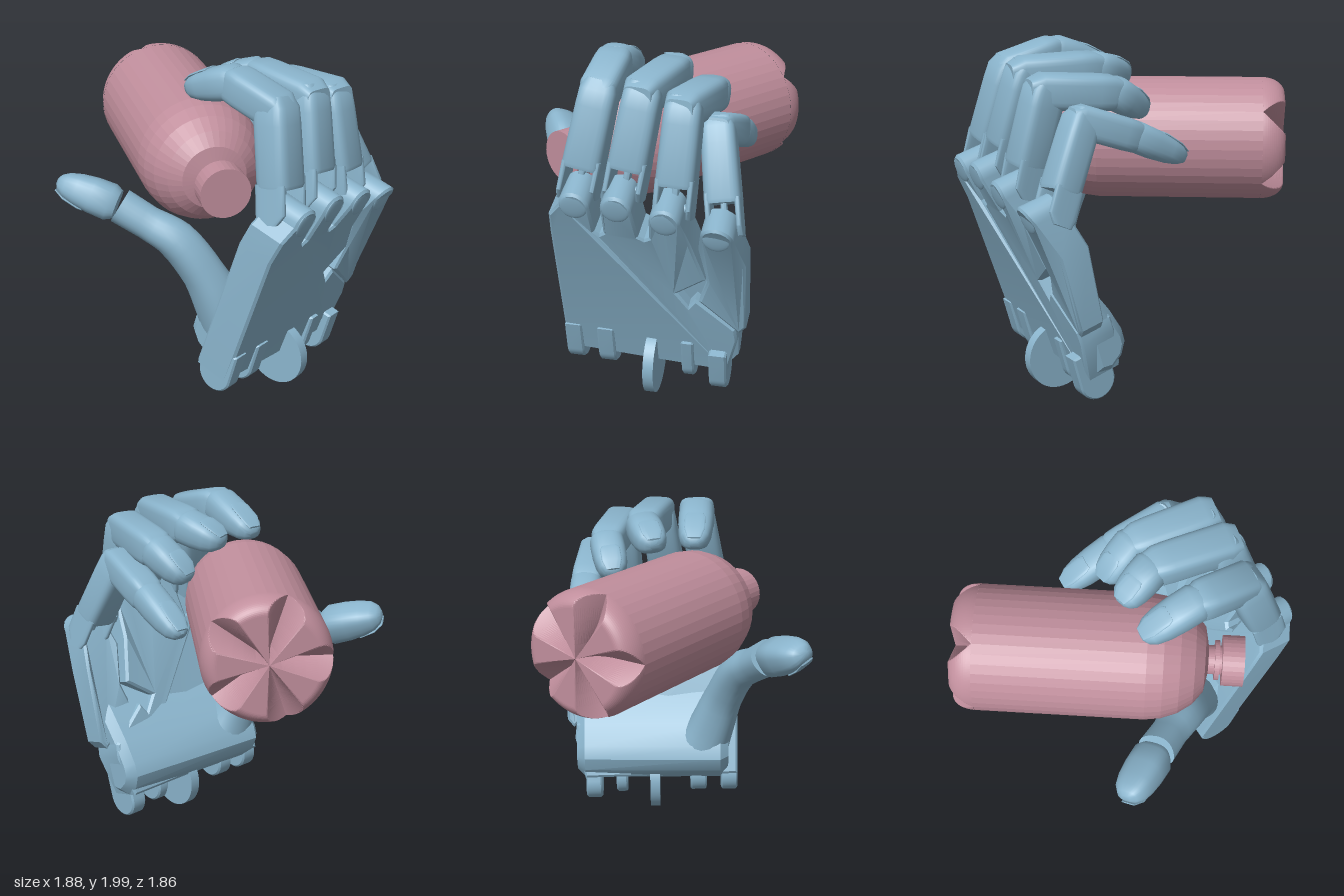
import * as THREE from 'three';
import { toCreasedNormals } from 'three/addons/utils/BufferGeometryUtils.js';

const V = (x, y, z) => new THREE.Vector3(x, y, z);
const { lerp, smoothstep } = THREE.MathUtils;
const handMat = new THREE.MeshStandardMaterial({ color: 0x8ab4cc, side: THREE.DoubleSide });
const bottleMat = new THREE.MeshStandardMaterial({ color: 0xc08e9c, flatShading: true });

// Palm frame: across (towards the little finger), up, and out of the back of the hand
const UP = V(0.175, 0.96, 0.22).normalize();
const OUT = V(0.81, -0.05, -0.585).cross(UP).normalize();
const ACROSS = UP.clone().cross(OUT);

function add(parent, name, geo, mat = handMat) {
  const mesh = new THREE.Mesh(geo, mat);
  mesh.name = name;
  parent.add(mesh);
  return mesh;
}

// Rounded-box or oval sections [point, halfWidth, halfDepth, outward offset] joined into a skin
function loft(sections, lateral, power = 4, n = 28) {
  const pos = [], idx = [], last = sections.length - 1;
  sections.forEach(([p, w, d, off = 0], i) => {
    const dir = sections[Math.min(i + 1, last)][0].clone().sub(sections[Math.max(i - 1, 0)][0]).normalize();
    const x = lateral.clone().addScaledVector(dir, -lateral.dot(dir)).normalize();
    const z = x.clone().cross(dir);
    for (let j = 0; j < n; j++) {
      const a = (j / n) * Math.PI * 2, c = Math.cos(a), s = Math.sin(a);
      const q = p.clone()
        .addScaledVector(x, w * Math.sign(c) * Math.abs(c) ** (2 / power))
        .addScaledVector(z, off + d * Math.sign(s) * Math.abs(s) ** (2 / power));
      pos.push(q.x, q.y, q.z);
      const b = i * n + j, e = i * n + ((j + 1) % n);
      if (i < last) idx.push(b, b + n, e, e, b + n, e + n);
    }
  });
  for (let j = 1; j < n - 1; j++) {
    const t = last * n;
    idx.push(0, j, j + 1, t, t + j + 1, t + j);
  }
  const geo = new THREE.BufferGeometry();
  geo.setAttribute('position', new THREE.Float32BufferAttribute(pos, 3));
  geo.setIndex(idx);
  return toCreasedNormals(geo, 0.7);
}

// Straight loft from a to b; rows are [t, halfWidth, halfDepth, offset]
const limb = (a, b, rows, lateral, power) =>
  loft(rows.map(([t, ...r]) => [a.clone().lerp(b, t), ...r]), lateral, power);

function tipSegment(parent, a, b, r, lateral) {
  add(parent, 'fingertip', limb(a, b, [
    [-0.16, r * 0.8, r * 0.75], [0, r, r * 0.95], [0.4, r, r * 0.92], [0.75, r * 0.94, r * 0.8],
    [1, r * 0.8, r * 0.62], [1.14, r * 0.55, r * 0.4], [1.2, r * 0.25, r * 0.18]], lateral, 2.8));
  add(parent, 'fingernail', limb(a, b, [
    [0.5, r * 0.45, r * 0.06, r * 0.87], [0.6, r * 0.58, r * 0.08, r * 0.85],
    [0.95, r * 0.58, r * 0.08, r * 0.68], [1.17, r * 0.38, r * 0.05, r * 0.44]], lateral, 2.6));
}

function finger(name, [base, pip, dip, tip], r) {
  const g = new THREE.Group();
  g.name = name;
  add(g, 'proximalSegment', limb(base, pip, [
    [0.22, r * 1.0, r * 0.92], [0.26, r * 1.05, r], [0.85, r, r],
    [1.02, r * 0.97, r * 0.96], [1.13, r * 0.78, r * 0.65]], ACROSS));
  add(g, 'middleSegment', limb(pip, dip, [
    [-0.22, r * 0.75, r * 0.6], [-0.05, r * 0.97, r * 0.95], [0.75, r * 0.97, r * 0.95],
    [0.95, r * 0.93, r * 0.92], [1.08, r * 0.75, r * 0.72]], ACROSS));
  tipSegment(g, dip, tip, r * 0.96, ACROSS);
  // Open hinge: two cheeks, a middle strut and a pin
  for (const s of [-1, 0, 1]) {
    const shift = ACROSS.clone().multiplyScalar(s * r * 0.85);
    const w = s ? r * 0.18 : r * 0.18, d = s ? r * 0.9 : r * 0.3;
    add(g, s ? 'hingeCheek' : 'hingeStrut', limb(base.clone().add(shift), pip.clone().add(shift),
      [[-0.1, w, d * 0.65, -r * 0.25], [0, w, d, -r * 0.08], [0.3, w, d]], ACROSS));
  }
  const pin = add(g, 'hingePin', new THREE.CylinderGeometry(r * 0.25, r * 0.25, r * 1.7, 16));
  pin.position.copy(base);
  pin.quaternion.setFromUnitVectors(V(0, 1, 0), ACROSS);
  return g;
}

// Bevelled plate whose back face is at z = 0 and which reaches inward by depth; move() reshapes it
function plate(points, depth, bevel, move) {
  const shape = new THREE.Shape(points.map(([x, y]) => new THREE.Vector2(x, y)));
  const geo = new THREE.ExtrudeGeometry(shape, {
    depth: depth - 2 * bevel, bevelThickness: bevel, bevelSize: bevel, bevelOffset: -bevel, bevelSegments: 1 });
  geo.translate(0, 0, bevel - depth);
  const p = geo.attributes.position;
  for (let i = 0; i < p.count; i++) move(p, i);
  return toCreasedNormals(geo, 0.42);
}

// Rounded knuckle top as outline points, left to right
const knuckle = (x, y, r) => Array.from({ length: 9 }, (_, i) => {
  const a = Math.PI * (1 - i / 8);
  return [x + r * Math.cos(a), y - r + r * Math.sin(a)];
});

// Knuckles flare outward, and the wrist end leans inward on the thumb side
const flare = (x, y) => smoothstep(y, -0.38, -0.05) * (0.04 + 0.07 * x) + 0.04 * y * Math.max(0, 1 - x);

function palm() {
  const g = new THREE.Group();
  g.name = 'palm';
  new THREE.Matrix4().makeBasis(ACROSS, UP, OUT).setPosition(0.22, 1.34, 0.89)
    .decompose(g.position, g.quaternion, g.scale);
  add(g, 'palmPlate', plate([
    [-0.12, -1.18], [-0.13, -0.3], [-0.12, -0.15], ...knuckle(0.03, 0.02, 0.085),
    [0.12, -0.25], [0.145, -0.27], [0.17, -0.25],
    ...knuckle(0.26, 0.035, 0.085), [0.36, -0.25], [0.39, -0.27], [0.42, -0.25],
    ...knuckle(0.52, -0.01, 0.085), [0.64, -0.27], [0.71, -0.53], [0.55, -0.65], [0.61, -0.74],
    [0.65, -0.68], [0.87, -0.87], [0.88, -0.95], [0.82, -1.2]], 0.22, 0.014,
  (p, i) => p.setZ(i, p.getZ(i) + flare(p.getX(i), p.getY(i)))));
  // Separate bone plate of the little finger, thinner towards the wrist
  add(g, 'littleFingerPalmPlate', plate([
    [0.68, -0.3], ...knuckle(0.79, -0.09, 0.09), [0.93, -0.4], [0.93, -0.84], [0.89, -0.89],
    [0.67, -0.69], [0.72, -0.54]], 0.21, 0.014,
  (p, i) => p.setZ(i, p.getZ(i) * lerp(1, 0.65, -p.getY(i)) + flare(p.getX(i), p.getY(i)))));
  // Flush knuckle caps on the back of the hand
  [[0.03, 0.02], [0.26, 0.035], [0.52, -0.01], [0.79, -0.09]].forEach(([x, y]) => {
    const cap = add(g, 'knuckleCap', new THREE.SphereGeometry(0.076, 20, 12));
    cap.position.set(x, y - 0.085, flare(x, y - 0.085) - 0.005);
    cap.scale.set(1, 1, 0.15);
  });
  // Rounded heel carrying the thumb: a side profile run across the palm, deeper at the thumb
  const heel = add(g, 'palmHeel', plate([
    [0.12, -0.5], [0.25, -0.68], [0.36, -0.86], [0.42, -1.0], [0.42, -1.08],
    [0.36, -1.15], [0.24, -1.2], [0.1, -1.18]], 0.93, 0.05,
  (p, i) => p.setX(i, p.getX(i) * lerp(0.66, 1, Math.min(1, -p.getZ(i) / 0.6)))));
  heel.rotation.y = Math.PI / 2;
  heel.position.x = 0.87;
  // Wrist lugs and the round hinge tab
  const lug = new THREE.Shape();
  lug.moveTo(0.0, -1.0);
  lug.lineTo(0.0, -1.18);
  lug.absarc(0.1, -1.18, 0.1, Math.PI, Math.PI * 2, false);
  lug.lineTo(0.2, -1.0);
  [[-0.12, 0.1, 0, -0.04], [0.07, 0.1, 0, -0.03], [0.56, 0.07, 0.01, 0], [0.72, 0.1, 0.05, 0.03]]
    .forEach(([x, w, drop, out]) => {
      const m = add(g, 'wristLug', toCreasedNormals(new THREE.ExtrudeGeometry(lug, {
        depth: w - 0.02, bevelThickness: 0.01, bevelSize: 0.01, bevelSegments: 1, curveSegments: 12 }), 0.42));
      m.rotation.y = Math.PI / 2;
      m.position.set(x + 0.01, -drop, out);
    });
  const disc = add(g, 'wristHingeTab', new THREE.CylinderGeometry(0.195, 0.195, 0.06, 40));
  disc.rotation.z = Math.PI / 2;
  disc.position.set(0.39, -1.205, -0.06);
  return g;
}

function thumb() {
  const g = new THREE.Group();
  g.name = 'thumb';
  const side = V(0.45, 0, 0.9);
  const path = new THREE.CatmullRomCurve3([V(0, 0.42, 0.43), V(-0.07, 0.58, 0.43), V(-0.17, 0.8, 0.41),
    V(-0.31, 1.0, 0.35), V(-0.45, 1.09, 0.28), V(-0.59, 1.18, 0.21)]);
  const radii = [0.17, 0.145, 0.12, 0.115, 0.1, 0.105];
  add(g, 'thumbBase', loft(Array.from({ length: 21 }, (_, i) => {
    const k = i / 4, a = Math.min(Math.floor(k), 4);
    const r = lerp(radii[a], radii[a + 1], k - a);
    return [path.getPoint(i / 20), r, r * 0.95];
  }), side, 2.4));
  tipSegment(g, V(-0.64, 1.2, 0.19), V(-0.86, 1.285, 0.08), 0.11, side);
  return g;
}

function bottle() {
  const g = new THREE.Group();
  g.name = 'bottle';
  g.position.set(-0.115, 1.39, 0);
  const turned = (name, pts, seg) => {
    const geo = new THREE.LatheGeometry(pts.map(([r, z]) => new THREE.Vector2(r, z)), seg);
    geo.rotateX(Math.PI / 2);
    return add(g, name, geo, bottleMat);
  };
  turned('bottleBody', [[0.35, -0.8], [0.35, 0.13], [0.338, 0.22], [0.305, 0.31], [0.25, 0.39],
    [0.18, 0.445], [0.08, 0.465], [0.08, 0.5], [0.11, 0.5], [0.11, 0.525], [0.08, 0.525], [0.08, 0.55]], 40);
  turned('bottleCap', [[0, 0.54], [0.14, 0.54], [0.14, 0.66], [0, 0.66]], 32);
  // Base with five V grooves pressed in along its radii
  const profile = [[0, -0.93], [0.03, -0.93], [0.07, -0.93], [0.14, -0.93], [0.2, -0.93]];
  for (let i = 0; i <= 16; i++) {
    const a = (i / 16) * Math.PI / 2;
    profile.push([0.27 + 0.08 * Math.sin(a), -0.8 - 0.13 * Math.cos(a)]);
  }
  const base = turned('bottleBase', profile, 240);
  const p = base.geometry.attributes.position, step = Math.PI * 0.4;
  for (let i = 0; i < p.count; i++) {
    let a = Math.atan2(p.getY(i), p.getX(i)) - Math.PI;
    a -= Math.round(a / step) * step;
    const fade = Math.min(1, Math.hypot(p.getX(i), p.getY(i)) / 0.05);
    const floor = -0.93 + fade * 0.13 * (1 - Math.abs(a) / (Math.PI / 9));
    p.setZ(i, Math.max(p.getZ(i), floor));
  }
  return g;
}

export function createModel() {
  const model = new THREE.Group();
  model.name = 'handHoldingBottle';
  model.add(palm(), thumb(), bottle());
  model.add(
    finger('indexFinger', [V(0.16, 1.31, 0.77), V(0.17, 1.82, 0.62), V(0.01, 1.9, 0.37), V(-0.13, 1.81, 0.14)], 0.105),
    finger('middleFinger', [V(0.38, 1.33, 0.64), V(0.38, 1.83, 0.5), V(0.22, 1.84, 0.13), V(0.06, 1.79, 0)], 0.105),
    finger('ringFinger', [V(0.61, 1.26, 0.5), V(0.56, 1.77, 0.38), V(0.4, 1.74, 0.02), V(0.26, 1.63, -0.11)], 0.103),
    finger('littleFinger', [V(0.8, 1.17, 0.31), V(0.61, 1.62, 0.18), V(0.46, 1.51, -0.1), V(0.32, 1.385, -0.32)], 0.095));
  return model;
}
